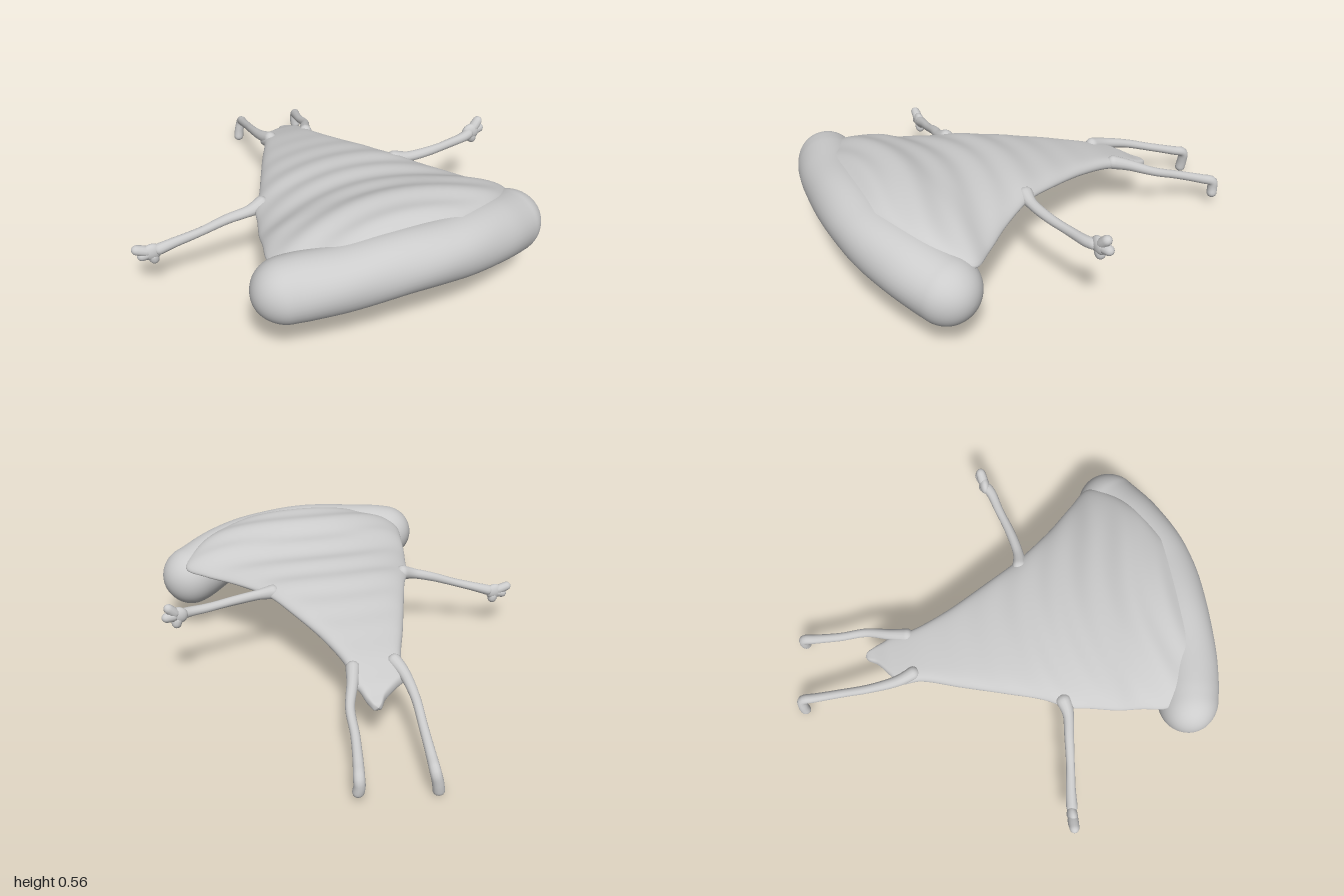
import * as THREE from 'three';

const V = (a) => new THREE.Vector3(...a);
const mat = new THREE.MeshStandardMaterial({ color: 0xcccccc, roughness: 0.8, side: THREE.DoubleSide });

function mesh(geo, name) {
  const m = new THREE.Mesh(geo, mat);
  m.name = name;
  return m;
}

// Skin a surface over rings of points: point(u, angle), u in 0..1
function loft(point, rings, sides) {
  const pos = [], idx = [];
  for (let i = 0; i <= rings; i++)
    for (let j = 0; j < sides; j++)
      pos.push(...point(i / rings, (j / sides) * Math.PI * 2).toArray());
  for (let i = 0; i < rings; i++)
    for (let j = 0; j < sides; j++) {
      const a = i * sides + j, b = i * sides + ((j + 1) % sides);
      idx.push(a, a + sides, b, b, a + sides, b + sides);
    }
  const g = new THREE.BufferGeometry();
  g.setAttribute('position', new THREE.Float32BufferAttribute(pos, 3));
  g.setIndex(idx);
  g.computeVertexNormals();
  return g;
}

function lerpList(list, t) {
  const f = t * (list.length - 1), i = Math.min(Math.floor(f), list.length - 2);
  return list[i] + (list[i + 1] - list[i]) * (f - i);
}

// Tapered tube through points with rounded ends
function taperTube(points, radii, ref, rings, sides, wobble = 0) {
  const curve = new THREE.CatmullRomCurve3(points.map(V));
  const len = curve.getLength(), up = V(ref);
  return loft((u, a) => {
    const t = (1 - Math.cos(Math.PI * u)) / 2;
    const p = curve.getPointAt(t), tan = curve.getTangentAt(t);
    const n = new THREE.Vector3().crossVectors(up, tan).normalize();
    const b = new THREE.Vector3().crossVectors(tan, n);
    let r = lerpList(radii, t);
    const d = Math.min(t, 1 - t) * len;
    if (d < r) r *= Math.sqrt(Math.max(0, 1 - (1 - d / r) ** 2));
    r *= 1 + wobble * Math.sin(p.x * 14 + 2 * Math.sin(a)) * Math.cos(a * 2);
    // reversed angle keeps the faces turned outwards
    return p.addScaledVector(n, r * Math.cos(-a)).addScaledVector(b, r * Math.sin(-a));
  }, rings, sides);
}

// Thin wedge with a sagging, rippled sheet: rows of z, left x, right x, top y, thickness
function wedge() {
  const rows = [
    [0.84, -0.40, 0.38, 0.535, 0.06],
    [0.76, -0.44, 0.54, 0.56, 0.07],
    [0.68, -0.455, 0.64, 0.565, 0.075],
    [0.58, -0.435, 0.705, 0.55, 0.07],
    [0.48, -0.415, 0.63, 0.515, 0.065],
    [0.36, -0.38, 0.525, 0.49, 0.065],
    [0.26, -0.355, 0.45, 0.477, 0.065],
    [0.16, -0.30, 0.385, 0.465, 0.065],
    [0, -0.235, 0.31, 0.43, 0.065],
    [-0.2, -0.155, 0.225, 0.382, 0.065],
    [-0.38, -0.08, 0.175, 0.335, 0.06],
    [-0.48, -0.065, 0.175, 0.3, 0.055],
    [-0.52, -0.01, 0.16, 0.285, 0.05],
    [-0.57, 0.06, 0.147, 0.262, 0.045],
    [-0.61, 0.09, 0.13, 0.245, 0.035],
    [-0.622, 0.11, 0.11, 0.23, 0],
  ];
  const left = new THREE.CatmullRomCurve3(rows.map((r) => V([r[1], r[3], r[0]])));
  const right = new THREE.CatmullRomCurve3(rows.map((r) => V([r[2], r[3], r[0]])));
  const thick = rows.map((r) => r[4]);
  return loft((u, a) => {
    const l = left.getPoint(u), r = right.getPoint(u), t = lerpList(thick, u);
    const s = Math.cos(a), side = Math.sign(Math.sin(a));
    const x = (l.x + r.x) / 2 + ((r.x - l.x) / 2) * s;
    const z = (l.z + r.z) / 2;
    const h = side * (t / 2) * Math.sqrt(Math.max(0, 1 - s ** 8));
    const fade = THREE.MathUtils.smoothstep(z, -0.5, 0.5);
    const ripple = 0.006 * fade * (1 - s ** 4) * Math.sin(z * 38 + 3 * Math.cos(x * 4) + x * 3);
    const y = (l.y + r.y) / 2 - t / 2 - 0.33 * (x - 0.13) ** 2 + h + ripple;
    return new THREE.Vector3(x, y, z);
  }, 120, 64);
}

// Arm with a small three-fingered hand
function arm(name, path, palm, tips) {
  const g = new THREE.Group();
  g.name = name;
  g.add(mesh(taperTube(path, [0.04, 0.024, 0.022, 0.02, 0.022, 0.027], [0, 0, 1], 36, 14, 0.06), 'forearm'));
  const p = mesh(new THREE.SphereGeometry(1, 20, 14), 'palm');
  p.scale.set(0.045, 0.04, 0.024);
  p.position.copy(V(palm));
  g.add(p);
  for (const tip of tips)
    g.add(mesh(taperTube([palm, tip], [0.024, 0.024, 0.021], [0, 0, 1], 16, 12), 'finger'));
  return g;
}

export function createModel() {
  const model = new THREE.Group();
  model.name = 'wedgeCreature';

  // Puffy rolled rim along the front
  model.add(mesh(taperTube([
    [-0.562, 0.325, 0.79], [-0.44, 0.348, 0.805], [-0.2, 0.375, 0.85], [0.05, 0.395, 0.865],
    [0.3, 0.385, 0.845], [0.5, 0.355, 0.775], [0.66, 0.315, 0.69], [0.798, 0.3, 0.63],
  ], [0.13, 0.14, 0.138, 0.135, 0.135, 0.14, 0.145, 0.145], [0, 1, 0], 90, 40, 0.015), 'crust'));

  model.add(mesh(wedge(), 'slice'));

  // Soft lump beneath the slice
  const lump = mesh(new THREE.SphereGeometry(1, 24, 16), 'undersideLump');
  lump.scale.set(0.08, 0.035, 0.07);
  lump.position.set(0.07, 0.4, 0.18);
  model.add(lump);

  model.add(arm('leftArm',
    [[0.33, 0.425, 0.17], [0.42, 0.415, 0.18], [0.55, 0.41, 0.165], [0.68, 0.41, 0.135], [0.77, 0.415, 0.115], [0.82, 0.42, 0.09]],
    [0.82, 0.42, 0.09],
    [[0.875, 0.482, 0.075], [0.895, 0.425, 0.07], [0.835, 0.36, 0.085]]));
  model.add(arm('rightArm',
    [[-0.29, 0.39, 0.24], [-0.37, 0.365, 0.255], [-0.48, 0.335, 0.24], [-0.6, 0.29, 0.225], [-0.72, 0.25, 0.205], [-0.8, 0.222, 0.195]],
    [-0.81, 0.22, 0.193],
    [[-0.897, 0.25, 0.185], [-0.875, 0.2, 0.187], [-0.797, 0.16, 0.193]]));

  // Legs trailing behind, each with a foot bent downwards
  const legs = {
    rightLeg: [[-0.03, 0.315, -0.38], [-0.055, 0.285, -0.48], [-0.056, 0.245, -0.62], [-0.038, 0.195, -0.76],
      [-0.02, 0.145, -0.9], [-0.012, 0.122, -0.96], [-0.022, 0.07, -0.968], [-0.032, 0.002, -0.962]],
    leftLeg: [[0.145, 0.315, -0.38], [0.18, 0.285, -0.48], [0.23, 0.24, -0.6], [0.25, 0.195, -0.73],
      [0.28, 0.15, -0.86], [0.295, 0.128, -0.915], [0.295, 0.09, -0.92], [0.302, 0.04, -0.912]],
  };
  for (const [name, path] of Object.entries(legs))
    model.add(mesh(taperTube(path, [0.034, 0.026, 0.021, 0.02, 0.021, 0.024, 0.026], [1, 0, 0], 60, 14, 0.04), name));

  return model;
}
